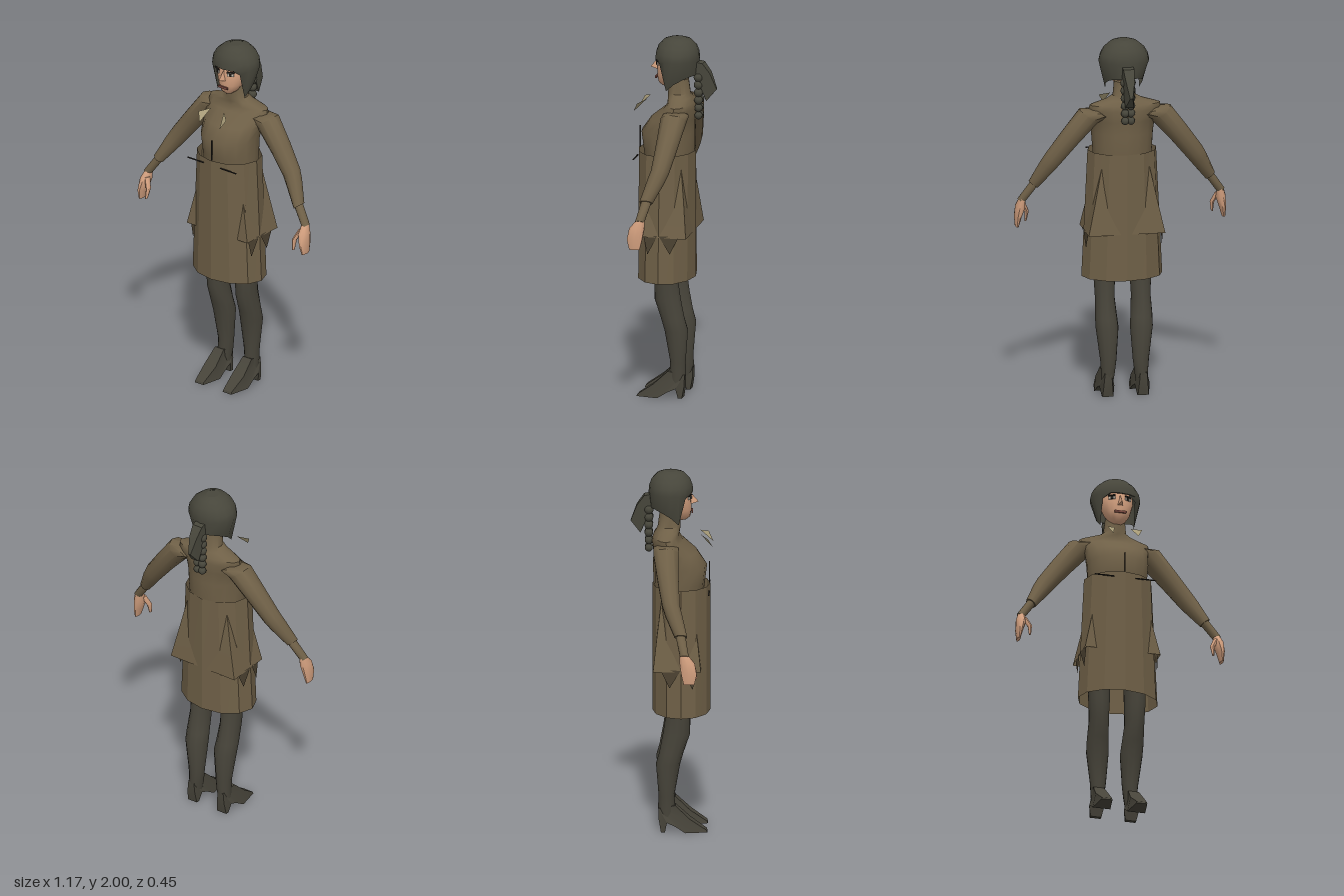
import * as THREE from 'three';
import { toCreasedNormals } from 'three/addons/utils/BufferGeometryUtils.js';

const mat = (name, color, side = THREE.DoubleSide) => {
  const m = new THREE.MeshStandardMaterial({ color, side });
  m.name = name;
  return m;
};

// Skin of elliptical rings [x, y, z, a, b]; (dx, dy) is the direction of travel, b is the half depth in z.
function loft(rings, { sides = 12, dx = 0, dy = 1, phase = 0, crease = 0.9, cap = true, move } = {}) {
  const pos = [], index = [], n = rings.length, l = Math.hypot(dx, dy);
  rings.forEach(([x, y, z, a, b], j) => {
    for (let i = 0; i < sides; i++) {
      const t = phase + (i / sides) * Math.PI * 2, c = Math.cos(t) * a / l;
      const p = new THREE.Vector3(x + dy * c, y - dx * c, z + Math.sin(t) * b);
      if (move) move(p, j, t);
      pos.push(p.x, p.y, p.z);
    }
  });
  for (let j = 0; j < n - 1; j++) for (let i = 0; i < sides; i++) {
    const k = (i + 1) % sides, p = j * sides, q = p + sides;
    index.push(p + i, q + i, p + k, p + k, q + i, q + k);
  }
  if (cap) for (let i = 1; i < sides - 1; i++) {
    const q = (n - 1) * sides;
    index.push(0, i, i + 1, q, q + i + 1, q + i);
  }
  const g = new THREE.BufferGeometry();
  g.setAttribute('position', new THREE.Float32BufferAttribute(pos, 3));
  g.setIndex(index);
  return toCreasedNormals(g, crease);
}

// Side outline of [z, y] points, given a width in x and shaped by a width rule
function sidePlate(points, width, rule) {
  const g = new THREE.ExtrudeGeometry(
    new THREE.Shape(points.map(([z, y]) => new THREE.Vector2(-z, y))),
    { depth: width, bevelEnabled: false });
  g.translate(0, 0, -width / 2).rotateY(Math.PI / 2);
  const p = g.attributes.position;
  for (let i = 0; i < p.count; i++) p.setX(i, p.getX(i) * rule(p.getY(i), p.getZ(i)));
  return toCreasedNormals(g, 0.5);
}

function polygon(points) {
  const g = new THREE.BufferGeometry();
  g.setAttribute('position', new THREE.Float32BufferAttribute(points.flat(), 3));
  g.computeVertexNormals();
  return g;
}

export function createModel() {
  const cloth = mat('brown cloth', 0x6f6047), lining = mat('dark lining', 0x4c4231);
  const hair = mat('dark hair', 0x47463b), stocking = mat('stocking', 0x47443a);
  const skin = mat('skin', 0xd29f7e), collar = mat('pale collar', 0xa89c78);
  const lips = mat('lips', 0x7b4a40), white = mat('eye white', 0xc9c2b4), dark = mat('dark trim', 0x25221e);

  const root = new THREE.Group();
  const add = (name, geo, material, parent = root) => {
    const m = new THREE.Mesh(geo, material);
    m.name = name;
    parent.add(m);
    return m;
  };
  const plate = (name, w, h, d, material, x, y, z, parent, turn = 0) => {
    const m = add(name, new THREE.BoxGeometry(w, h, d), material, parent);
    m.position.set(x, y, z);
    m.rotation.y = turn;
  };

  // Torso with high neck
  add('torso', loft([
    [0, 1.30, 0.04, 0.16, 0.13], [0, 1.38, 0.04, 0.165, 0.14], [0, 1.475, 0.045, 0.172, 0.147],
    [0, 1.55, 0.02, 0.178, 0.12], [0, 1.615, -0.025, 0.2, 0.085], [0, 1.645, -0.03, 0.195, 0.07],
    [0, 1.67, -0.02, 0.1, 0.065], [0, 1.69, -0.015, 0.064, 0.062], [0, 1.77, -0.01, 0.055, 0.056],
  ], { sides: 16 }), cloth);

  // Faceted open skirt and the jacket hem poking through its sides
  add('skirt', loft([[0, 0.66, 0.052, 0.224, 0.158], [0, 1.37, 0.052, 0.19, 0.158]],
    { sides: 12, crease: 0.1, cap: false }), cloth);
  const r2 = Math.SQRT2;
  add('jacketHem', loft([
    [0, 0.92, 0.03, 0.212 * r2, 0.13 * r2], [0, 1.1, 0.03, 0.172 * r2, 0.11 * r2], [0, 1.3, 0.035, 0.13 * r2, 0.09 * r2],
  ], { sides: 4, phase: Math.PI / 4, cap: false }), cloth);

  // Placket in front of the chest
  plate('placket', 0.004, 0.12, 0.006, dark, 0, 1.43, 0.204);

  // Head
  add('head', loft([
    [0, 1.728, 0.055, 0.022, 0.025], [0, 1.745, 0.05, 0.045, 0.05], [0, 1.785, 0.033, 0.07, 0.075],
    [0, 1.85, 0.017, 0.092, 0.09], [0, 1.93, 0, 0.09, 0.085], [0, 1.97, 0, 0.05, 0.05],
  ], { sides: 16 }), skin);
  add('nose', polygon([
    [-0.016, 1.815, 0.1], [0.016, 1.815, 0.1], [0, 1.826, 0.146],
    [-0.016, 1.815, 0.1], [0, 1.826, 0.146], [0, 1.88, 0.1],
    [0.016, 1.815, 0.1], [0, 1.88, 0.1], [0, 1.826, 0.146],
  ]), skin);
  plate('mouth', 0.064, 0.013, 0.008, lips, 0, 1.775, 0.11);

  // Bobbed hair: the lower edge rises over the face and falls to a point beside it
  const edge = [1.885, 1.885, 1.86, 1.715, 1.755, 1.78, 1.795, 1.8, 1.8];
  add('hair', loft([
    [0, 1.8, -0.005, 0.102, 0.113], [0, 1.885, -0.005, 0.14, 0.121], [0, 1.92, -0.005, 0.132, 0.118],
    [0, 1.955, -0.005, 0.112, 0.105], [0, 1.987, -0.005, 0.074, 0.075], [0, 2.0, -0.005, 0.034, 0.04],
  ], {
    sides: 16, cap: false,
    move: (p, j, t) => {
      if (j) return;
      const a = Math.acos(Math.sin(t)) / (Math.PI / 8);
      p.y = edge[Math.round(a)];
      if (a < 2.5) p.x *= 1.25;
    },
  }), hair);
  const crown = add('hairCrown', new THREE.CircleGeometry(1, 16).rotateX(-Math.PI / 2), hair);
  crown.scale.set(0.034, 1, 0.04);
  crown.position.set(0, 1.9995, -0.005);

  // Ponytail, narrow at its far edge
  add('ponytail', sidePlate(
    [[-0.1, 1.875], [-0.15, 1.865], [-0.19, 1.81], [-0.224, 1.72], [-0.17, 1.655], [-0.142, 1.72], [-0.12, 1.78]],
    0.06, (y, z) => (z < -0.2 ? 0.25 : z < -0.16 ? 0.8 : 1)), hair);

  for (const s of [1, -1]) {
    const side = new THREE.Group();
    side.name = s > 0 ? 'leftSide' : 'rightSide';
    side.scale.x = s;
    root.add(side);

    // Arm: sleeve, cuff, hand and thumb
    const down = { dx: 0.6, dy: -0.8, sides: 10 };
    add('sleeve', loft([
      [0.13, 1.6, -0.03, 0.04, 0.07], [0.2, 1.585, -0.03, 0.066, 0.072], [0.307, 1.455, -0.016, 0.058, 0.06],
      [0.395, 1.34, 0, 0.052, 0.05], [0.425, 1.295, 0.015, 0.047, 0.048], [0.49, 1.19, 0.055, 0.031, 0.036],
    ], down), cloth, side);
    add('cuff', loft([[0.475, 1.21, 0.05, 0.024, 0.028], [0.555, 1.095, 0.075, 0.022, 0.025]], down), cloth, side);
    add('hand', loft([
      [0.548, 1.11, 0.07, 0.018, 0.022], [0.555, 1.06, 0.09, 0.028, 0.043],
      [0.567, 1.0, 0.1, 0.02, 0.044], [0.572, 0.945, 0.1, 0.009, 0.03],
    ], { dx: 0.15, dy: -1, sides: 10 }), skin, side);
    add('thumb', loft([
      [0.54, 1.075, 0.1, 0.015, 0.018], [0.513, 1.02, 0.122, 0.012, 0.016], [0.516, 0.965, 0.135, 0.006, 0.009],
    ], { dx: -0.2, dy: -1, sides: 8 }), skin, side);

    // Leg and heeled shoe
    add('leg', loft([
      [0.095, 0.07, -0.025, 0.033, 0.035], [0.092, 0.13, -0.027, 0.038, 0.047], [0.09, 0.2, -0.028, 0.045, 0.043],
      [0.095, 0.38, -0.019, 0.063, 0.066], [0.098, 0.44, -0.002, 0.061, 0.066], [0.1, 0.55, 0.027, 0.054, 0.074],
      [0.1, 0.66, 0.035, 0.06, 0.066], [0.1, 0.85, 0.04, 0.065, 0.066],
    ], { sides: 12 }), stocking, side);
    add('shoe', sidePlate([
      [0.195, 0], [0.19, 0.012], [0.1, 0.075], [0.02, 0.15], [-0.07, 0.13], [-0.07, 0.07], [-0.058, 0],
      [-0.036, 0], [-0.025, 0.055], [0.02, 0.035], [0.075, 0],
    ], 0.1, (y, z) => (z > 0.15 ? 0.6 : z < -0.03 ? 0.6 : 1) * (1 - 3 * Math.min(y, 0.13))), stocking, side)
      .position.x = 0.098;

    // Ragged lining under the hem
    add('liningRag', polygon([
      [0.2, 0.93, 0.14], [0.205, 0.82, 0.115], [0.214, 0.93, 0.06],
      [0.214, 0.93, 0.05], [0.21, 0.83, -0.01], [0.206, 0.93, -0.06],
    ]), lining, side);

    // Standing collar tip and pocket edge
    add('collarTip', polygon([[0.045, 1.655, 0.155], [0.098, 1.635, 0.2], [0.07, 1.585, 0.225]]), collar, side);
    plate('pocketEdge', 0.11, 0.004, 0.008, dark, 0.115, 1.34, 0.203, side);

    // Eye and brow
    plate('eyeWhite', 0.036, 0.015, 0.006, white, 0.045, 1.857, 0.099, side, 0.45);
    plate('iris', 0.015, 0.015, 0.006, dark, 0.045, 1.857, 0.101, side, 0.45);
    plate('brow', 0.042, 0.007, 0.007, dark, 0.046, 1.872, 0.1, side, 0.45);

    // Beaded braid
    for (let i = 0; i < 6; i++) {
      const bead = add('braidBead', new THREE.SphereGeometry(0.027 - i * 0.001, 10, 8), hair, side);
      bead.position.set(0.016, 1.785 - i * 0.043, -0.125);
    }
  }
  return root;
}
